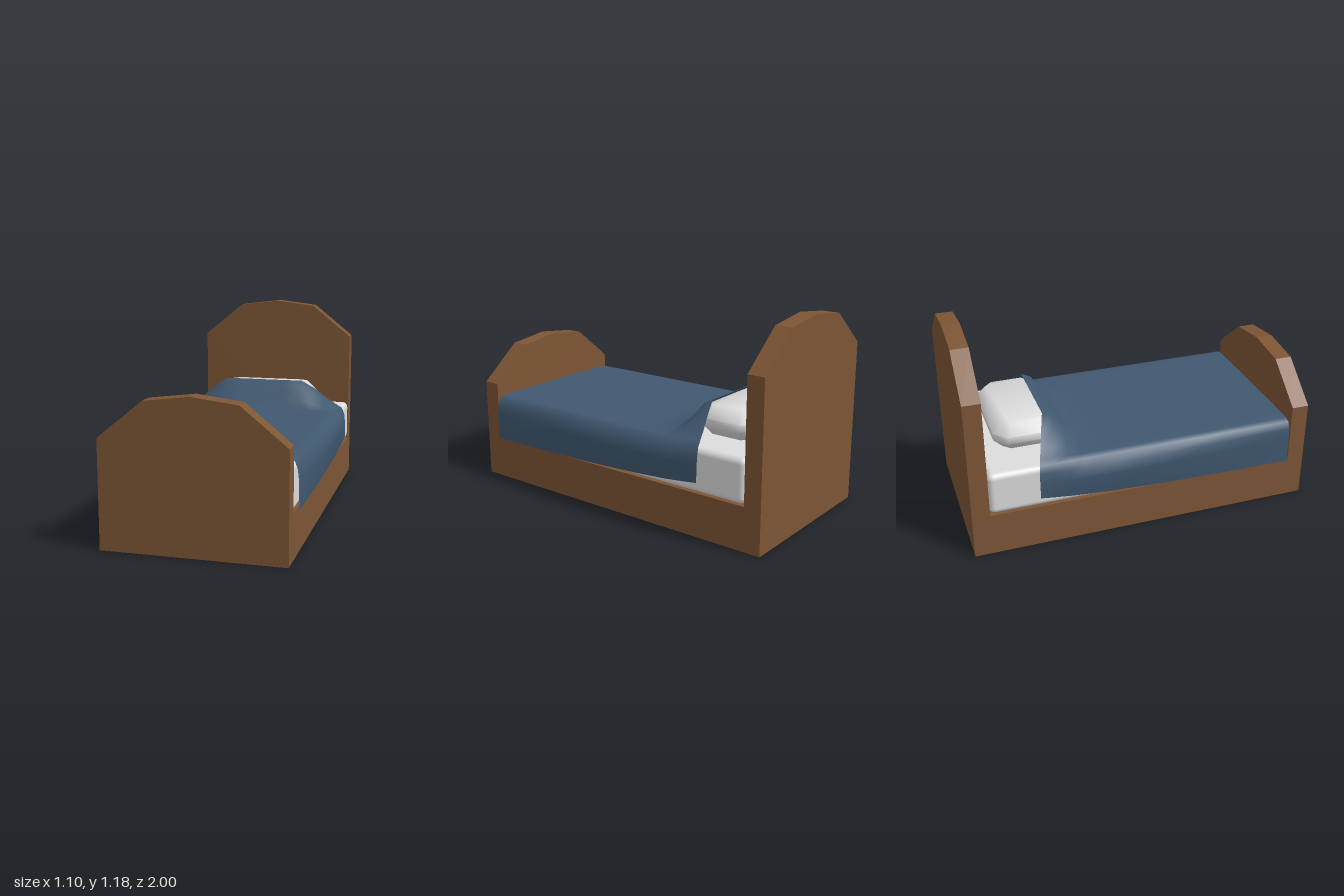
import * as THREE from 'three';
import { toCreasedNormals } from 'three/addons/utils/BufferGeometryUtils.js';
import { RoundedBoxGeometry } from 'three/addons/geometries/RoundedBoxGeometry.js';

const material = (name, color, extra = {}) => {
  const m = new THREE.MeshStandardMaterial({ color, ...extra });
  m.name = name;
  return m;
};

// Arched end board, 0.1 thick, starting at depth z
function boardGeometry(shoulder, z) {
  const half = [[0.5, 0], [0.5, shoulder], [0.25, shoulder + 0.202]];
  const points = [...half, [0, shoulder + 0.233], ...half.map(([x, y]) => [-x, y]).reverse()];
  const shape = new THREE.Shape(points.map(([x, y]) => new THREE.Vector2(x, y)));
  return new THREE.ExtrudeGeometry(shape, { depth: 0.1, bevelEnabled: false }).translate(0, 0, z);
}

// Pillow: cut-corner outline with a wide bevel above and below
function pillowGeometry() {
  const a = 0.255, b = 0.13, c = 0.04;
  const shape = new THREE.Shape([
    [a, -b + c], [a, b - c], [a - c, b], [-a + c, b],
    [-a, b - c], [-a, -b + c], [-a + c, -b], [a - c, -b],
  ].map(([x, y]) => new THREE.Vector2(x, y)));
  const geometry = new THREE.ExtrudeGeometry(shape, {
    depth: 0.04, bevelThickness: 0.062, bevelSize: 0.055, bevelSegments: 1,
  });
  geometry.rotateX(-Math.PI / 2).translate(0, 0.562, -0.625);
  return toCreasedNormals(geometry, 1.0);
}

// Blanket: open cross-sections lofted from the foot to the folded edge on the pillow
function blanketGeometry() {
  // centre z, hem z, top height, hem height, side bulge
  const stations = [
    [0.88, 0.88, 0.525, 0.257, 0.522],
    [0.45, 0.45, 0.525, 0.26, 0.536],
    [0.1, 0.1, 0.523, 0.268, 0.547],
    [-0.2, -0.21, 0.52, 0.282, 0.55],
    [-0.35, -0.37, 0.535, 0.293, 0.545],
    [-0.41, -0.45, 0.582, 0.3, 0.54],
    [-0.475, -0.54, 0.665, 0.31, 0.53],
    [-0.53, -0.62, 0.69, 0.32, 0.523],
  ];
  const positions = [], index = [];
  let count = 0;
  for (const [zTop, zHem, top, hem, bulge] of stations) {
    const mix = (t) => 0.522 + (top - 0.522) * t;
    const half = [
      [0.13, top], [0.25, top], [0.33, mix(0.7)], [0.41, mix(0.3)], [0.47, mix(0.05)],
      [0.5, 0.51], [0.5 + (bulge - 0.5) * 0.7, 0.47], [bulge, 0.41], [0.525, hem],
    ];
    const row = [...half.map(([x, y]) => [-x, y]).reverse(), [0, top], ...half];
    count = row.length;
    for (const [x, y] of row) {
      const t = Math.min(1, Math.max(0, (Math.abs(x) - 0.25) / 0.27));
      positions.push(x, y, zTop + (zHem - zTop) * t);
    }
  }
  for (let s = 0; s < stations.length - 1; s++) {
    for (let i = 0; i < count - 1; i++) {
      const a = s * count + i, b = a + count;
      index.push(a, a + 1, b, a + 1, b + 1, b);
    }
  }
  const geometry = new THREE.BufferGeometry();
  geometry.setAttribute('position', new THREE.Float32BufferAttribute(positions, 3));
  geometry.setIndex(index);
  geometry.computeVertexNormals();
  return geometry;
}

export function createModel() {
  const wood = material('wood', 0x7d5535);
  const linen = material('white linen', 0xdcdcdc);
  const cloth = material('blue blanket', 0x405870, { side: THREE.DoubleSide });

  const bed = new THREE.Group();
  bed.name = 'bed';
  const add = (name, geometry, mat) => {
    const mesh = new THREE.Mesh(geometry, mat);
    mesh.name = name;
    bed.add(mesh);
  };

  // Wooden frame
  add('headboard', boardGeometry(0.945, -1), wood);
  add('footboard', boardGeometry(0.595, 0.9), wood);
  add('base', new THREE.BoxGeometry(1, 0.25, 1.8).translate(0, 0.125, 0), wood);

  // Bedding
  add('mattress', new RoundedBoxGeometry(1, 0.25, 1.8, 3, 0.035).translate(0, 0.377, 0), linen);
  add('pillow', pillowGeometry(), linen);
  add('blanket', blanketGeometry(), cloth);
  return bed;
}
